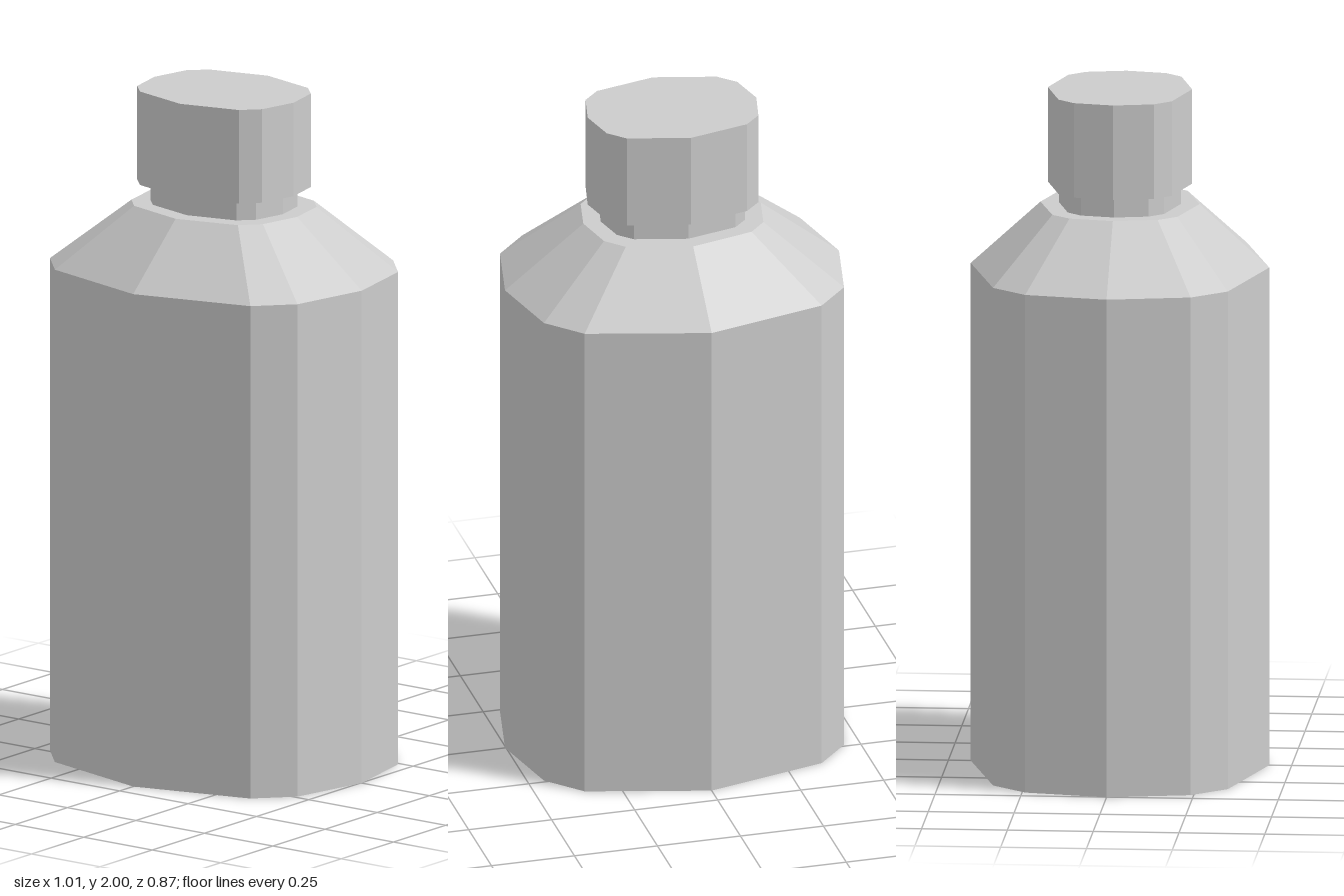
import * as THREE from 'three';

// One quarter of the twelve-sided outline, from the left side point to the front point.
const QUARTER = [[0.503, 0], [0.452, 0.241], [0.357, 0.342], [0, 0.435]];

// Mirror the quarter into a full loop running from +x through +z.
function outline() {
  const half = [...QUARTER, ...QUARTER.slice(0, 3).reverse().map(([x, z]) => [-x, z])];
  return [...half, ...half.slice(1, 6).reverse().map(([x, z]) => [x, -z])];
}

// Faceted solid through rings of [y, x scale, z scale], closed at both ends.
function loft(rings) {
  const loop = outline();
  const n = loop.length;
  const pos = [];
  const at = (r, i) => [loop[i % n][0] * r[1], r[0], loop[i % n][1] * r[2]];
  const tri = (...corners) => corners.forEach((c) => pos.push(...c));
  const first = rings[0];
  const last = rings[rings.length - 1];
  for (let i = 0; i < n; i++) {
    for (let k = 0; k < rings.length - 1; k++) {
      const a = at(rings[k], i), b = at(rings[k], i + 1);
      const c = at(rings[k + 1], i), d = at(rings[k + 1], i + 1);
      tri(a, c, b);
      tri(b, c, d);
    }
    tri([0, first[0], 0], at(first, i), at(first, i + 1));
    tri([0, last[0], 0], at(last, i + 1), at(last, i));
  }
  const geometry = new THREE.BufferGeometry();
  geometry.setAttribute('position', new THREE.Float32BufferAttribute(pos, 3));
  geometry.computeVertexNormals();
  return geometry;
}

export function createModel() {
  const group = new THREE.Group();
  group.name = 'bottle';
  const grey = new THREE.MeshStandardMaterial({ name: 'light grey', color: 0xcccccc, flatShading: true });

  const add = (name, rings) => {
    const mesh = new THREE.Mesh(loft(rings), grey);
    mesh.name = name;
    group.add(mesh);
  };

  // Straight body with its sloping shoulder
  add('body', [[0, 1, 1], [1.475, 1, 1], [1.66, 0.531, 0.533]]);
  // Short narrow neck
  add('neck', [[1.65, 0.427, 0.41], [1.73, 0.427, 0.41]]);
  // Wider cap
  add('cap', [[1.72, 0.505, 0.483], [2, 0.505, 0.483]]);

  return group;
}
